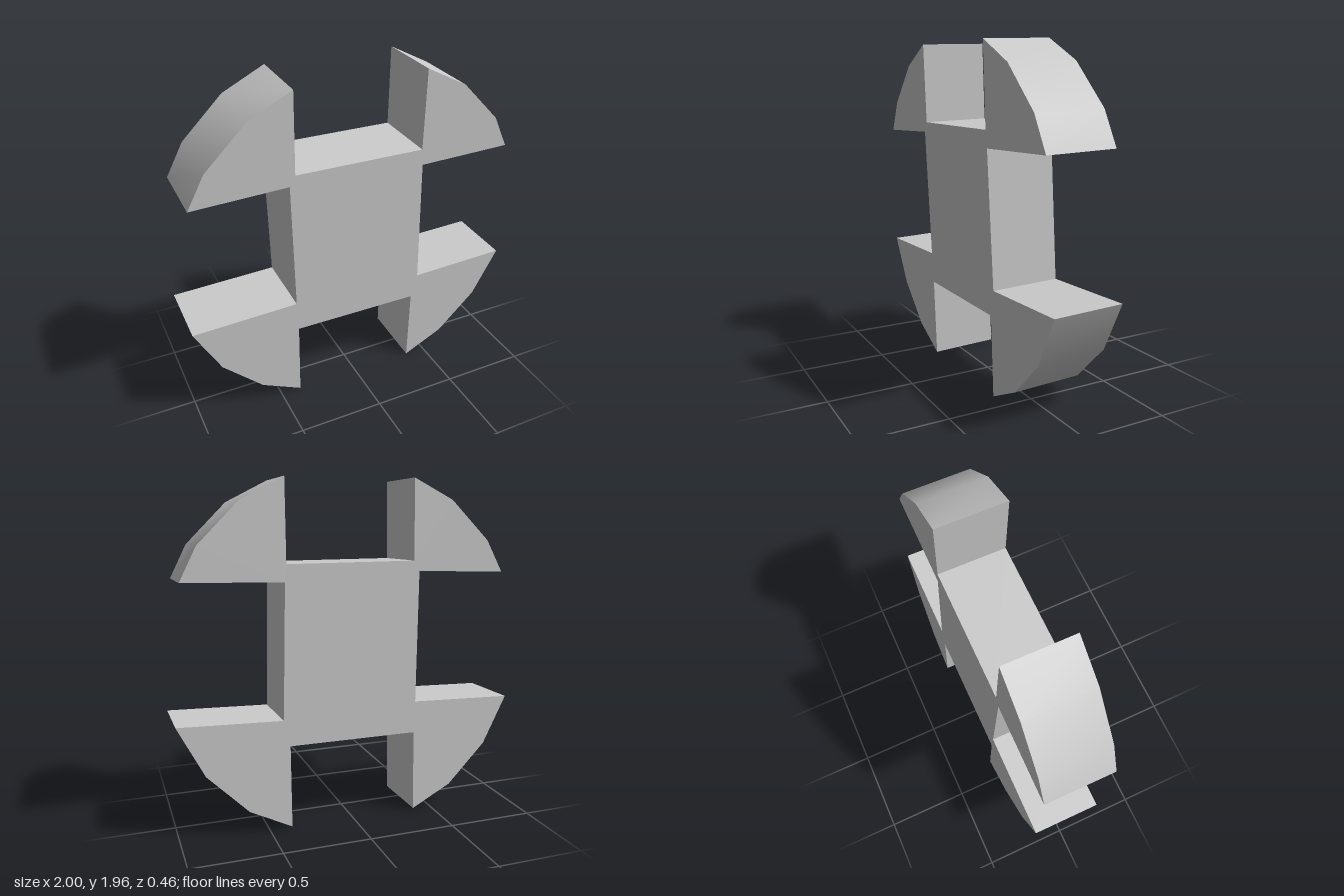
import * as THREE from 'three';
import { toCreasedNormals } from 'three/addons/utils/BufferGeometryUtils.js';

const RADIUS = 1.05;
const DEPTH = 0.4;
const TILT = 0.033;

// Rim vertex of the twenty-sided disc, by angle in degrees
function rim(deg) {
  const a = THREE.MathUtils.degToRad(deg);
  return [RADIUS * Math.cos(a), RADIUS * Math.sin(a)];
}

export function createModel() {
  const group = new THREE.Group();
  group.name = 'slottedWheel';

  // Disc outline, counter-clockwise, with four rectangular slots
  const outline = [
    // upper right lobe
    [0.385, 0.415], [0.944, 0.43], rim(36), rim(54), [0.375, 0.972],
    // top slot
    [0.375, 0.511], [-0.378, 0.511],
    // upper left lobe
    [-0.378, 0.972], rim(126), rim(144), [-0.948, 0.431],
    // left slot, slightly skewed
    [-0.41, 0.451], [-0.388, -0.313],
    // lower left lobe
    [-0.997, -0.334], rim(216), rim(234), [-0.378, -0.972],
    // bottom slot
    [-0.378, -0.499], [0.375, -0.499],
    // lower right lobe
    [0.375, -0.972], rim(306), rim(324), [0.998, -0.329],
    // right slot
    [0.41, -0.349],
  ];
  const shape = new THREE.Shape(outline.map(([x, y]) => new THREE.Vector2(x, y)));

  // Smooth rim, sharp slot edges
  const extruded = new THREE.ExtrudeGeometry(shape, { depth: DEPTH, bevelEnabled: false });
  extruded.translate(0, 0, -DEPTH / 2);
  const wheel = new THREE.Mesh(
    toCreasedNormals(extruded, 0.5),
    new THREE.MeshStandardMaterial({ color: 0xcccccc })
  );
  wheel.name = 'slottedDisc';

  // The disc leans slightly forward
  wheel.rotation.x = TILT;
  wheel.position.y = 0.98;
  group.add(wheel);
  return group;
}
